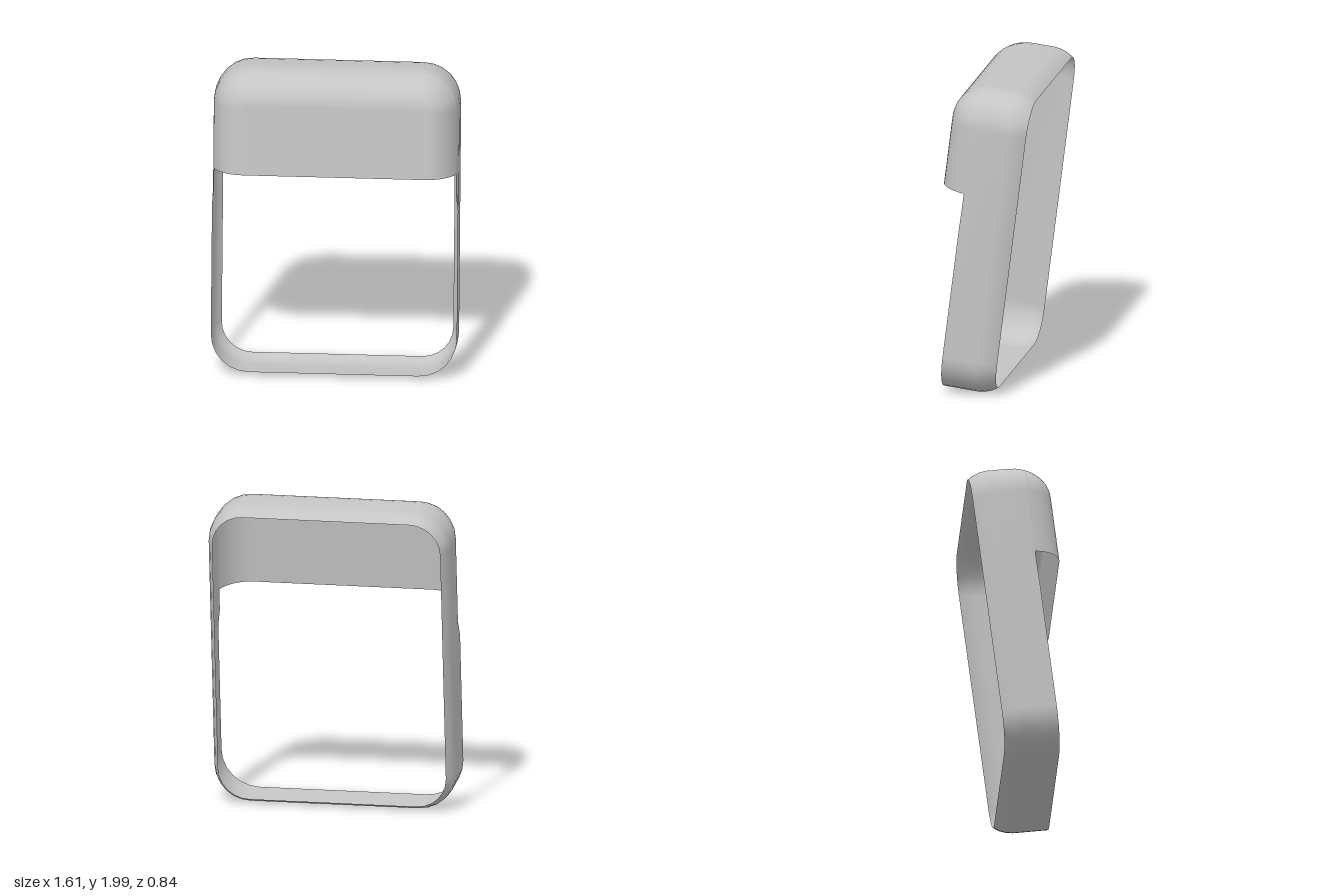
import * as THREE from 'three';

const HALF_W = 0.777, HALF_H = 0.992, CORNER = 0.24;
const HOOD_Y = 0.327;            // lower edge of the hood
const STEPS = [0.19, 0.09];      // where the band widens below the hood
const SEG = 6;                   // segments per rounded corner
const ARCH = 2 * (SEG + 1) + 2;  // points of the upper arch

// Rounded rectangle, inset from the outer size; starts with the arch above HOOD_Y.
function outline(inset) {
  const w = HALF_W - inset, h = HALF_H - inset, r = CORNER - inset;
  const pts = [];
  const corner = (sx, sy, start) => {
    for (let k = 0; k <= SEG; k++) {
      const a = start + (k / SEG) * Math.PI / 2;
      pts.push([sx * (w - r) + r * Math.cos(a), sy * (h - r) + r * Math.sin(a)]);
    }
  };
  pts.push([w, HOOD_Y]);
  corner(1, 1, 0);
  corner(-1, 1, Math.PI / 2);
  pts.push([-w, HOOD_Y]);
  STEPS.forEach(y => pts.push([-w, y]));
  corner(-1, -1, Math.PI);
  corner(1, -1, Math.PI * 1.5);
  [...STEPS].reverse().forEach(y => pts.push([w, y]));
  return pts;
}

// Skin over cross-sections listed from back to front.
function loft(sections, closed) {
  const n = sections[0].length, pos = sections.flat(2), idx = [];
  for (let s = 0; s < sections.length - 1; s++) {
    for (let k = 0; k < (closed ? n : n - 1); k++) {
      const a = s * n + k, b = s * n + (k + 1) % n;
      idx.push(a, b, b + n, a, b + n, a + n);
    }
  }
  const g = new THREE.BufferGeometry();
  g.setAttribute('position', new THREE.Float32BufferAttribute(pos, 3));
  g.setIndex(idx);
  g.computeVertexNormals();
  return g;
}

export function createModel() {
  const model = new THREE.Group();
  const grey = new THREE.MeshStandardMaterial({ color: 0xc4c4c4, side: THREE.DoubleSide });
  grey.name = 'plain grey';
  const add = (name, geometry) => {
    const m = new THREE.Mesh(geometry, grey);
    m.name = name;
    model.add(m);
  };

  // Elliptical rounding that carries the band into the hood
  const ROUND_Z = 0.25, ROUND_IN = 0.205, START = -0.085;
  const rounding = a => [START + ROUND_Z * Math.sin(a), ROUND_IN * (1 - Math.cos(a))];
  const a0 = Math.asin(-START / ROUND_Z);

  // Band: curls in at the back, and narrows at the front beside the hood
  const rows = [[-0.345, 0.045], [-0.31, 0.022], [-0.265, 0.006], [-0.22, 0], [START, 0],
    rounding(a0 / 2), rounding(a0)];
  add('band', loft(rows.map(([z, inset]) => {
    const plain = outline(0), tucked = outline(inset);
    return tucked.map((p, k) => {
      const [x, y] = z > START && p[1] < 0.15 ? plain[k] : p;
      return [x, y, z];
    });
  }), true));

  // Hood: rounded rim closing onto a flat front panel
  const hood = [];
  for (let k = 0; k <= 8; k++) {
    const [z, inset] = rounding(a0 + (Math.PI / 2 - a0) * k / 8);
    hood.push(outline(inset).slice(0, ARCH).map(([x, y]) => [x, y, z]));
  }
  hood.push(hood[8].map(([, y, z]) => [0, y, z]));
  add('hood', loft(hood, false));

  // Lean back and turn slightly to the side
  model.rotation.set(-0.125, -0.207, 0, 'YXZ');
  model.position.set(-0.02, 1.015, 0.167);
  const root = new THREE.Group();
  root.name = 'hoodedFrame';
  root.add(model);
  return root;
}
